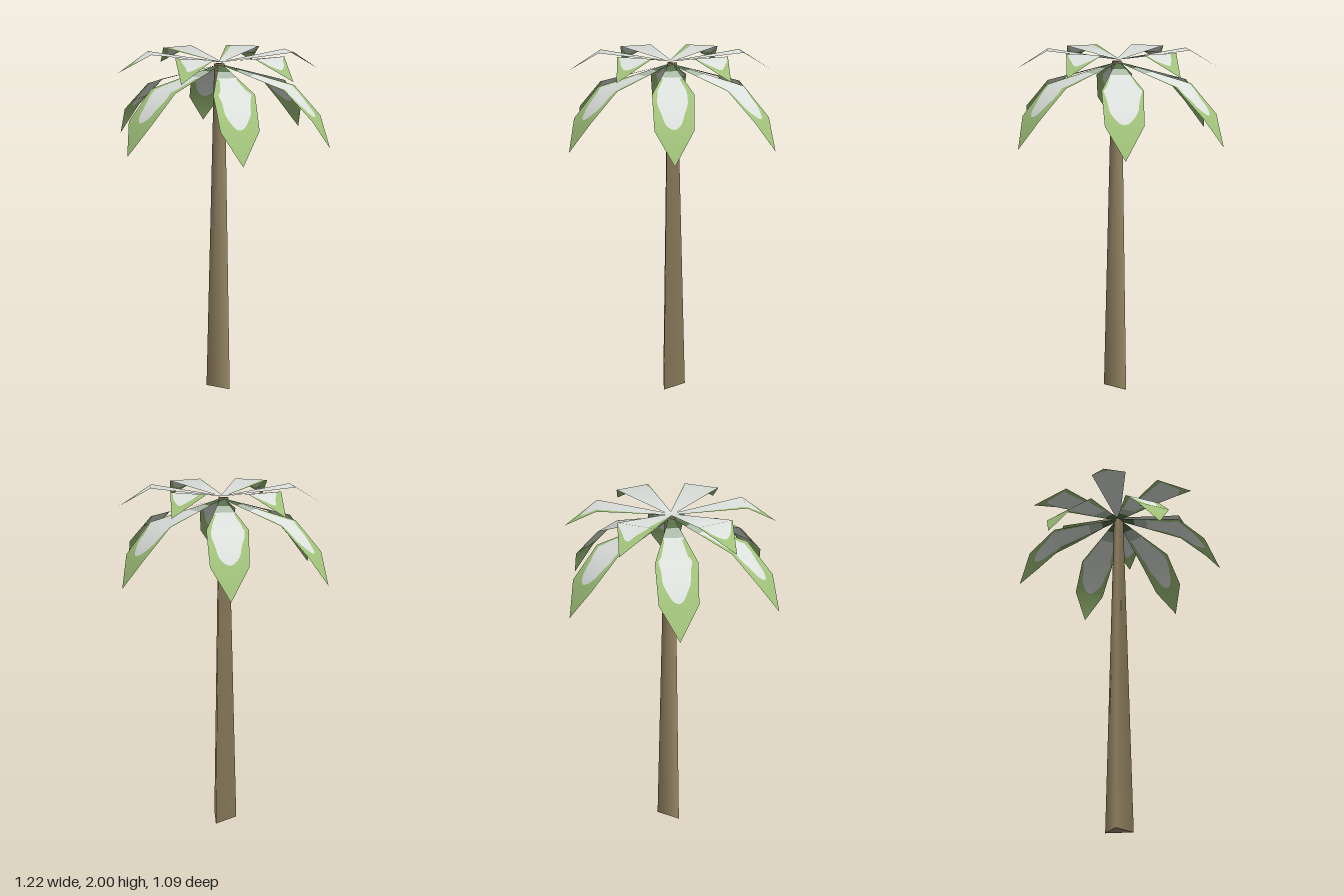
import * as THREE from 'three';

const mat = (name, color, side = THREE.FrontSide) => {
  const m = new THREE.MeshStandardMaterial({ color, side });
  m.name = name;
  return m;
};

// Spine profiles: [radius, height, half width]
const LOWER = [[0, 1.935, 0.01], [0.38, 1.83, 0.104], [0.53, 1.68, 0.095], [0.61, 1.525, 0]];
const UPPER = [[0, 1.947, 0.01], [0.375, 2.0, 0.1], [0.543, 1.9, 0]];

// Each leaf: [angle in degrees, green rim on one side, green rim on the other]
const LOWER_LEAVES = [[0, 0.01, 0.012], [60, 0.03, 0.02], [120, 0.02, 0.028],
  [180, 0.034, 0.028], [240, 0.03, 0.018], [300, 0.02, 0.02]];
const UPPER_LEAVES = [[30, 0, 0.008], [90, 0.004, 0.004], [150, 0, 0.026],
  [210, 0, 0], [270, 0.03, 0.002], [330, 0.03, 0.002]];

// Smooth bend normals at the profile points, as [outward, up]
function profileNormals(profile) {
  const seg = profile.slice(1).map((p, i) =>
    new THREE.Vector2(profile[i][1] - p[1], p[0] - profile[i][0]).normalize());
  return profile.map((_, i) => {
    const a = seg[Math.max(i - 1, 0)], b = seg[Math.min(i, seg.length - 1)];
    return a.clone().add(b).normalize();
  });
}

// A single-sheet leaf with a frosted middle, three strips wide
function leafGeometry(profile, [deg, rimA, rimB], snowStart, snowEnd) {
  const normals = profileNormals(profile);
  const angle = THREE.MathUtils.degToRad(deg);
  const c = Math.cos(angle), s = Math.sin(angle);
  const tipR = profile[profile.length - 1][0];
  const isLower = profile === LOWER;

  // Stations along the spine, always including bends and colour borders
  const stations = new Set([0, snowEnd, tipR, ...profile.map(p => p[0])]);
  if (isLower) [0.1, 0.18, 0.2].forEach(r => stations.add(r));
  for (let i = 1; i < 12; i++) stations.add(snowStart + (snowEnd - snowStart) * Math.sin(i / 12 * Math.PI / 2));
  const rs = [...stations].sort((a, b) => a - b);

  const pos = [], nor = [];
  rs.forEach(r => {
    let k = 0;
    while (k < profile.length - 2 && r > profile[k + 1][0]) k++;
    const t = (r - profile[k][0]) / (profile[k + 1][0] - profile[k][0]);
    const y = THREE.MathUtils.lerp(profile[k][1], profile[k + 1][1], t);
    const half = THREE.MathUtils.lerp(profile[k][2], profile[k + 1][2], t);
    const n = normals[k].clone().lerp(normals[k + 1], t).normalize();
    // Frosted half width: rim inset, then a rounded end
    const q = THREE.MathUtils.clamp((r - snowStart) / (snowEnd - snowStart), 0, 1);
    const round = Math.sqrt(1 - q * q * q);
    const rimScale = isLower && r < 0.19 ? 0 : Math.min(1, r / 0.3);
    const wobble = q > 0 && q < 1 ? 0.004 * Math.sin(r * 70 + deg) : 0;
    const snow = rim => Math.max(0, Math.min(half, (half - rim * rimScale) * round + wobble * round));
    [-half, -snow(rimA), snow(rimB), half].forEach(w => {
      pos.push(c * r - s * w, y, s * r + c * w);
      nor.push(c * n.x, n.y, s * n.x);
    });
  });

  // Material index: 0 green, 1 frost, 2 pale green, 3 dark green
  const buckets = [[], [], [], []];
  for (let i = 0; i < rs.length - 1; i++) {
    const mid = (rs[i] + rs[i + 1]) / 2;
    for (let j = 0; j < 3; j++) {
      let m = j === 1 ? 1 : 0;
      if (isLower && mid < 0.1) m = 3;
      else if (isLower && mid < 0.18) m = 2;
      const a = i * 4 + j;
      buckets[m].push(a, a + 1, a + 4, a + 1, a + 5, a + 4);
    }
  }
  const geo = new THREE.BufferGeometry();
  geo.setAttribute('position', new THREE.Float32BufferAttribute(pos, 3));
  geo.setAttribute('normal', new THREE.Float32BufferAttribute(nor, 3));
  geo.setIndex(buckets.flat());
  let start = 0;
  buckets.forEach((b, m) => {
    if (b.length) geo.addGroup(start, b.length, m);
    start += b.length;
  });
  return geo;
}

export function createModel() {
  const model = new THREE.Group();
  model.name = 'palmTree';
  const bark = mat('bark', 0x998866);
  const leafMats = [
    mat('leafGreen', 0xa0c17a, THREE.DoubleSide),
    mat('frost', 0xdde1dd, THREE.DoubleSide),
    mat('paleGreen', 0xadbcaa, THREE.DoubleSide),
    mat('darkGreen', 0x56704a, THREE.DoubleSide),
  ];

  // Three-sided tapering trunk
  const trunk = new THREE.Mesh(new THREE.CylinderGeometry(0.034, 0.087, 1.94, 3), bark);
  trunk.name = 'trunk';
  trunk.position.y = 0.97;
  model.add(trunk);

  // Two tiers of six leaves
  const addTier = (name, profile, leaves, snowStart, snowEnd) => {
    const tier = new THREE.Group();
    tier.name = name;
    leaves.forEach((leaf, i) => {
      const mesh = new THREE.Mesh(leafGeometry(profile, leaf, snowStart, snowEnd), leafMats);
      mesh.name = `${name}Leaf${i + 1}`;
      tier.add(mesh);
    });
    model.add(tier);
  };
  addTier('lower', LOWER, LOWER_LEAVES, 0.3, 0.525);
  addTier('upper', UPPER, UPPER_LEAVES, 0.3, 0.46);
  return model;
}
